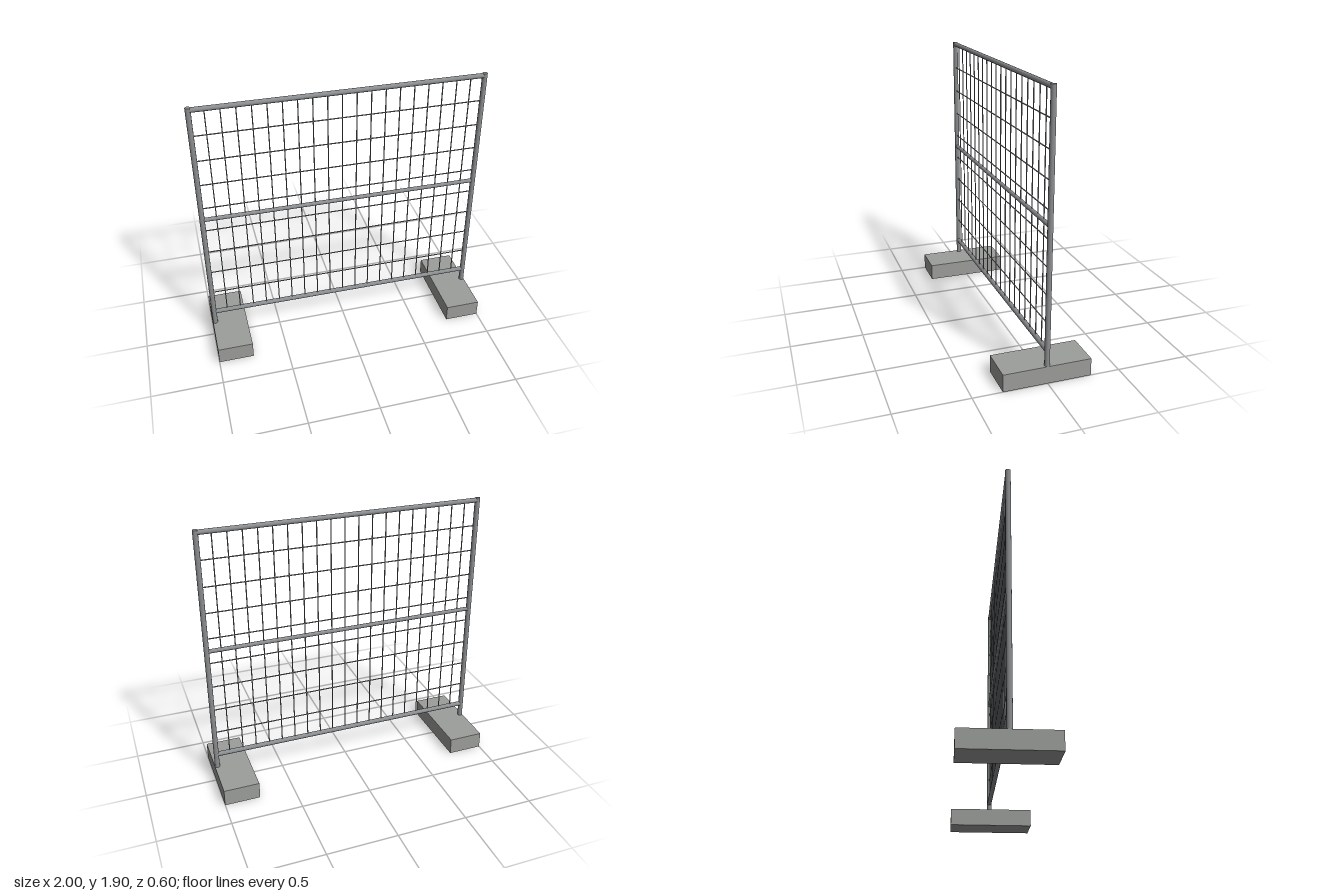
import * as THREE from 'three';

export function createModel() {
  const model = new THREE.Group();
  const steel = new THREE.MeshStandardMaterial({ color: 0x8c8f91 });
  steel.name = 'galvanised steel';
  const concrete = new THREE.MeshStandardMaterial({ color: 0x9c9e9b });
  concrete.name = 'concrete';

  const postX = 0.982, bottomY = 0.225, topY = 1.883;

  // Round bar centred at (x, y); horizontal bars lie along x
  function bar(name, radius, length, x, y, horizontal, sides) {
    const geometry = new THREE.CylinderGeometry(radius, radius, length, sides);
    if (horizontal) geometry.rotateZ(Math.PI / 2);
    const mesh = new THREE.Mesh(geometry, steel);
    mesh.name = name;
    mesh.position.set(x, y, 0);
    return mesh;
  }

  // Feet and end posts
  for (const [side, s] of [['left', 1], ['right', -1]]) {
    const foot = new THREE.Mesh(new THREE.BoxGeometry(0.25, 0.12, 0.6), concrete);
    foot.name = side + 'Foot';
    foot.position.set(s * 0.875, 0.06, 0);
    model.add(foot, bar(side + 'Post', 0.018, 1.8, s * postX, 1.0, false, 12));
  }

  // Horizontal rails
  model.add(
    bar('topRail', 0.017, 2 * postX, 0, topY, true, 12),
    bar('middleRail', 0.0145, 2 * postX, 0, 1.054, true, 12),
    bar('bottomRail', 0.017, 2 * postX, 0, bottomY, true, 12)
  );

  // Wire mesh infill
  const wires = new THREE.Group();
  wires.name = 'wireMesh';
  const columns = 20, rows = 9, height = topY - bottomY;
  for (let i = 1; i < columns; i++) {
    const x = -postX + (2 * postX * i) / columns;
    wires.add(bar('verticalWire', 0.004, height, x, (topY + bottomY) / 2, false, 6));
  }
  for (let j = 1; j < rows; j++) {
    wires.add(bar('horizontalWire', 0.004, 2 * postX, 0, bottomY + (height * j) / rows, true, 6));
  }
  model.add(wires);
  return model;
}
